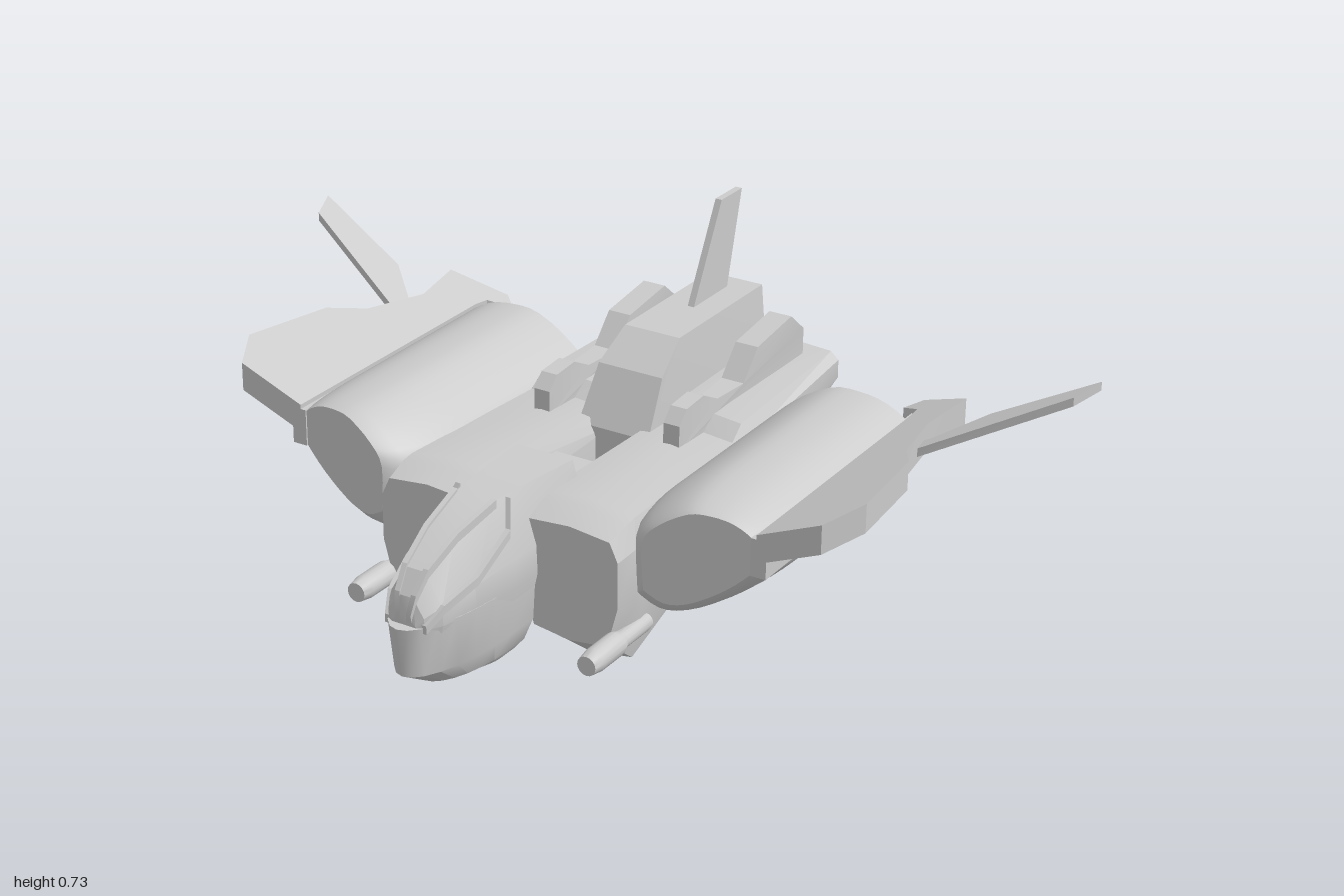
import * as THREE from 'three';
import { toCreasedNormals } from 'three/addons/utils/BufferGeometryUtils.js';

const material = new THREE.MeshStandardMaterial({ color: 0xcccccc });

// Closed skin through rings of [x, y, z] points, capped at both ends
function loft(rings) {
  const out = [], n = rings[0].length;
  const tri = (a, b, c) => out.push(...a, ...b, ...c);
  for (let r = 0; r < rings.length - 1; r++) {
    for (let i = 0; i < n; i++) {
      const j = (i + 1) % n, p = rings[r], q = rings[r + 1];
      tri(p[i], q[j], q[i]);
      tri(p[i], p[j], q[j]);
    }
  }
  const cap = (ring, flip) => {
    const c = [0, 1, 2].map(k => ring.reduce((s, p) => s + p[k], 0) / n);
    ring.forEach((p, i) => {
      const q = ring[(i + 1) % n];
      flip ? tri(c, p, q) : tri(c, q, p);
    });
  };
  cap(rings[0], false);
  cap(rings[rings.length - 1], true);
  const g = new THREE.BufferGeometry();
  g.setAttribute('position', new THREE.Float32BufferAttribute(out, 3));
  return g;
}

// Turn faces outward (by signed volume) and crease the normals
function finish(geometry, crease) {
  const g = geometry.index ? geometry.toNonIndexed() : geometry.clone();
  for (const k of Object.keys(g.attributes)) if (k !== 'position') g.deleteAttribute(k);
  const p = g.attributes.position, a = new THREE.Vector3(), b = new THREE.Vector3(), c = new THREE.Vector3();
  g.computeBoundingBox();
  const o = g.boundingBox.getCenter(new THREE.Vector3());
  let volume = 0;
  for (let i = 0; i < p.count; i += 3) {
    a.fromBufferAttribute(p, i).sub(o);
    b.fromBufferAttribute(p, i + 1).sub(o);
    c.fromBufferAttribute(p, i + 2).sub(o);
    volume += a.dot(b.cross(c));
  }
  if (volume < 0) {
    for (let i = 0; i < p.count; i += 3) {
      b.fromBufferAttribute(p, i + 1);
      c.fromBufferAttribute(p, i + 2);
      p.setXYZ(i + 1, c.x, c.y, c.z);
      p.setXYZ(i + 2, b.x, b.y, b.z);
    }
  }
  return toCreasedNormals(g, crease);
}

// Side profile of [z, y] points, extruded across x; the width may vary with height
function slab(profile, x, halfWidth) {
  const half = typeof halfWidth === 'function' ? halfWidth : () => halfWidth;
  const g = new THREE.ExtrudeGeometry(new THREE.Shape(profile.map(p => new THREE.Vector2(...p))), { depth: 2, bevelEnabled: false });
  const p = g.attributes.position;
  for (let i = 0; i < p.count; i++) {
    const z = p.getX(i), y = p.getY(i);
    p.setXYZ(i, x + (p.getZ(i) - 1) * half(y, z), y, z);
  }
  return g;
}

// Plan outline of [x, z] points made into a plate that climbs outward
function risingPlate(outline, x0, y0, slope, thickness) {
  const g = new THREE.ExtrudeGeometry(new THREE.Shape(outline.map(p => new THREE.Vector2(...p))), { depth: thickness, bevelEnabled: false });
  const p = g.attributes.position;
  for (let i = 0; i < p.count; i++) {
    const x = p.getX(i), z = p.getY(i);
    p.setXYZ(i, x, y0 + (x - x0) * slope + p.getZ(i), z);
  }
  return g;
}

function box(x0, x1, y0, y1, z0, z1) {
  return new THREE.BoxGeometry(x1 - x0, y1 - y0, z1 - z0).translate((x0 + x1) / 2, (y0 + y1) / 2, (z0 + z1) / 2);
}

// Ring of a twin hull at one station
function hullRing([z, xi, xo, yb, yt]) {
  const h = yt - yb, m = (xi + xo) / 2, y = f => yb + f * h;
  return [[xi + 0.03, y(0.045)], [m, yb], [xo - 0.025, y(0.045)], [xo, y(0.4)], [xo, y(0.8)], [xo - 0.02, y(0.96)],
    [m, yt], [xi + 0.02, y(0.97)], [xi, y(0.8)], [xi, y(0.4)]].map(p => [...p, z]);
}

export function createModel() {
  const model = new THREE.Group();
  const add = (name, g, crease = 0.35) => {
    const mesh = new THREE.Mesh(finish(g, crease), material);
    mesh.name = name;
    model.add(mesh);
  };
  const addPair = (name, g, crease) => {
    add(name + 'Left', g, crease);
    add(name + 'Right', g.clone().scale(-1, 1, 1), crease);
  };

  // Twin hulls with bottoms rising to the tail
  addPair('hull', loft([
    [0.32, 0.06, 0.295, 0.075, 0.34], [0.26, 0.05, 0.3, 0.03, 0.36], [0.23, 0.045, 0.3, 0.005, 0.365],
    [-0.2, 0.045, 0.28, 0.13, 0.35], [-0.24, 0.05, 0.278, 0.142, 0.38], [-0.68, 0.07, 0.26, 0.27, 0.38],
  ].map(hullRing)));

  // Cockpit body and canopy: station, bottom, top, half width, roof half width
  add('cockpit', loft([
    [0.655, 0.19, 0.235, 0.03, 0.012], [0.645, 0.17, 0.275, 0.045, 0.018], [0.61, 0.14, 0.32, 0.066, 0.024],
    [0.52, 0.1, 0.365, 0.085, 0.034], [0.4, 0.08, 0.395, 0.1, 0.046], [0.27, 0.08, 0.395, 0.1, 0.06], [0.14, 0.15, 0.39, 0.1, 0.07],
  ].map(([z, b, t, w, r]) => {
    const shoulder = b + (t - b) * 0.62;
    return [[-w * 0.7, b], [w * 0.7, b], [w, Math.min(0.21, shoulder)], [w * 0.97, shoulder], [r, t], [-r, t], [-w * 0.97, shoulder], [-w, Math.min(0.21, shoulder)]].map(p => [...p, z]);
  })), 0.4);

  // Rounded chin below the canopy
  add('chin', loft([[0.215, 0.095, 0.28, 0.31], [0.1, 0.088, 0.265, 0.32], [0.055, 0.075, 0.19, 0.335], [0.035, 0.06, 0.08, 0.35]].map(([y, w, d, back]) => {
    const ring = [[w, y, back]];
    for (let i = 0; i <= 14; i++) {
      const a = i / 14 * Math.PI;
      ring.push([w * Math.cos(a), y, 0.4 + d * Math.sin(a)]);
    }
    return [...ring, [-w, y, back]];
  })), 0.5);

  // Canopy frames
  const frame = points => loft(points.map(([x, y, z]) => [[x - 0.006, y - 0.012, z], [x + 0.006, y - 0.012, z], [x + 0.006, y + 0.007, z], [x - 0.006, y + 0.007, z]]));
  addPair('canopyFrame', frame([[0.014, 0.235, 0.657], [0.02, 0.275, 0.646], [0.026, 0.32, 0.61], [0.036, 0.365, 0.52], [0.048, 0.394, 0.4]]));
  addPair('canopySill', frame([[0.045, 0.215, 0.648], [0.064, 0.25, 0.61], [0.084, 0.28, 0.52], [0.082, 0.335, 0.4], [0.062, 0.389, 0.37]]));

  // Bridge between the hulls and raised rear housing
  add('bridge', box(-0.05, 0.05, 0.12, 0.33, 0.02, 0.2));
  add('rearHousing', slab([[-0.13, 0.19], [-0.13, 0.33], [-0.2, 0.45], [-0.29, 0.51], [-0.655, 0.51], [-0.655, 0.29], [-0.4, 0.25]],
    0, y => 0.09 - 0.02 * THREE.MathUtils.smoothstep(y, 0.4, 0.51)));
  add('tailFin', slab([[-0.45, 0.5], [-0.57, 0.73], [-0.66, 0.73], [-0.6, 0.5]], 0, 0.008));

  // Stepped rails on the hull tops
  addPair('rail', slab([[-0.1, 0.34], [-0.1, 0.4], [-0.13, 0.43], [-0.2, 0.435], [-0.26, 0.405], [-0.36, 0.405], [-0.42, 0.47], [-0.57, 0.49], [-0.63, 0.44], [-0.63, 0.36]],
    0.166, (y, z) => z < -0.35 ? 0.028 : 0.02));

  // Swelling side pods
  const section = [[0.25, 0.15], [0.31, 0.12], [0.38, 0.13], [0.47, 0.18], [0.55, 0.245], [0.6, 0.31],
    [0.58, 0.375], [0.52, 0.415], [0.45, 0.428], [0.38, 0.42], [0.29, 0.365], [0.245, 0.3]];
  const smooth = new THREE.SplineCurve([...section, section[0]].map(p => new THREE.Vector2(...p))).getPoints(36).slice(0, 36);
  const podRing = (z, shrink, slant) => smooth.map(({ x, y }) => {
    const px = x + (0.52 - x) * shrink;
    return [px, y + (0.38 - y) * shrink, z - (px - 0.3) * slant];
  });
  const podRings = [];
  for (let i = 7; i >= 0; i--) {
    const a = i / 7 * 1.25;
    podRings.push(podRing(0.05 + 0.245 * Math.sin(a), 0.43 * (1 - Math.cos(a)), 0.18 * i / 7));
  }
  podRings.push(podRing(-0.415, 0, 0));
  addPair('pod', loft(podRings), 0.6);

  // Outer wing panels with hooked tails, their root strips and winglets
  addPair('wingRoot', slab([[0.24, 0.3], [0.24, 0.385], [-0.46, 0.385], [-0.46, 0.34], [-0.42, 0.3]], 0.575, 0.018));
  addPair('wingPanel', risingPlate([[0.57, 0.24], [0.72, 0.25], [0.77, 0.16], [0.74, -0.08], [0.69, -0.17], [0.655, -0.34],
    [0.675, -0.48], [0.55, -0.535], [0.515, -0.505], [0.565, -0.47], [0.57, -0.43]], 0.57, 0.33, 0.45, 0.065));
  addPair('winglet', risingPlate([[0.62, -0.25], [0.675, -0.26], [0.97, -0.36], [0.998, -0.435], [0.77, -0.4], [0.675, -0.315], [0.62, -0.31]],
    0.65, 0.38, 0.51, 0.02));

  // Forward guns
  const gunProfile = [[0, 0.2], [0.018, 0.2], [0.02, 0.21], [0.02, 0.3], [0.027, 0.32], [0.027, 0.4], [0.022, 0.43], [0, 0.43]];
  addPair('gun', new THREE.LatheGeometry(gunProfile.map(p => new THREE.Vector2(...p)), 16).rotateX(Math.PI / 2).translate(0.29, 0.1, 0), 0.5);

  return model;
}
